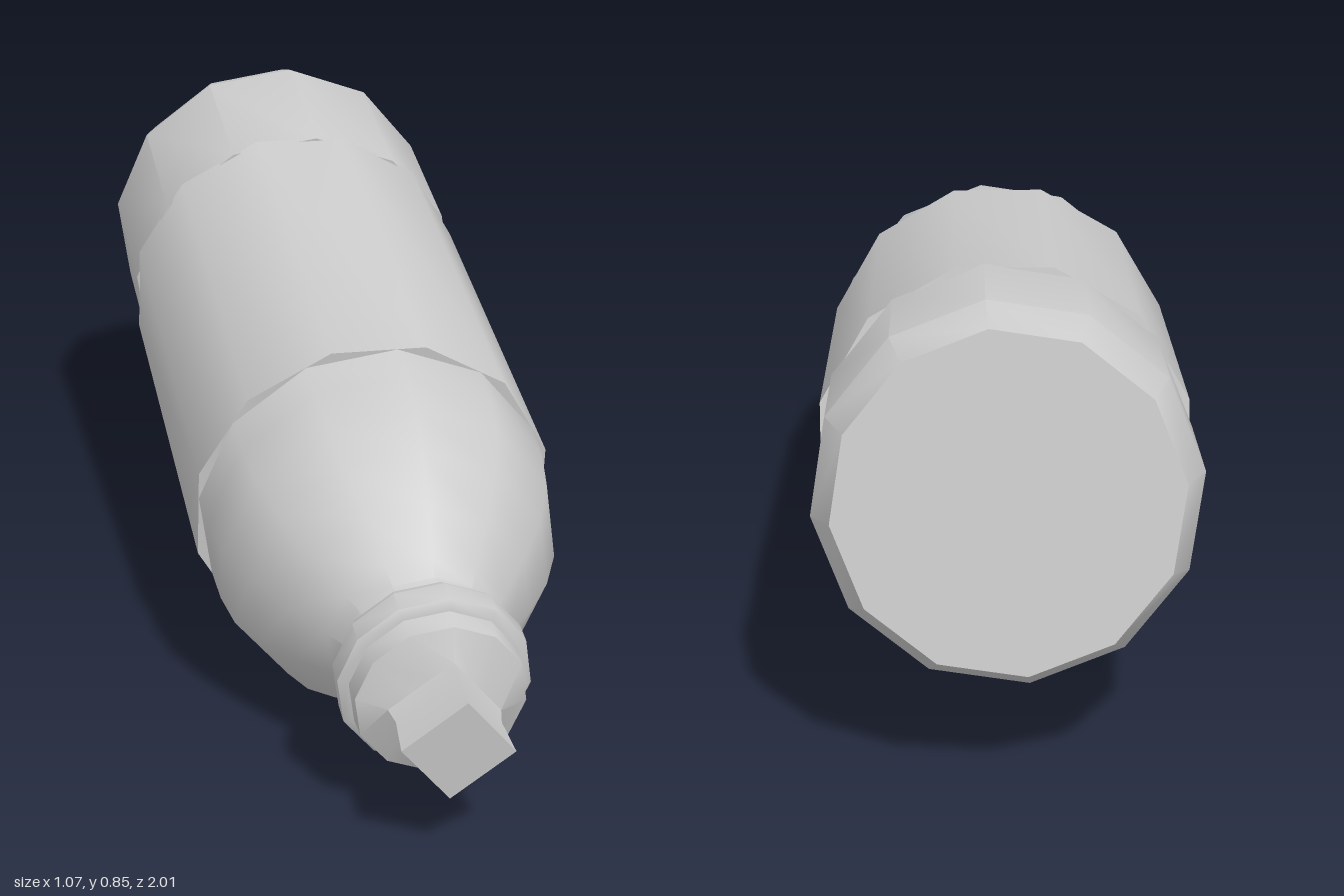
import * as THREE from 'three';
import { toCreasedNormals } from 'three/addons/utils/BufferGeometryUtils.js';

const SIDES = 12;
const deg = THREE.MathUtils.degToRad;
const PHASE = deg(24);

export function createModel() {
  const model = new THREE.Group();
  model.name = 'bottle';
  const material = new THREE.MeshStandardMaterial({ color: 0xcccccc, side: THREE.DoubleSide });

  // Turned part from [radius, distance along axis] pairs
  const turned = (profile, phase) => new THREE.LatheGeometry(
    profile.map(([r, y]) => new THREE.Vector2(r, y)), SIDES, phase);
  const add = (name, geometry) => {
    const mesh = new THREE.Mesh(toCreasedNormals(geometry, 0.62), material);
    mesh.name = name;
    model.add(mesh);
  };

  // Bottom section with chamfered foot
  add('base', turned([[0, 0], [0.302, 0], [0.337, 0.075], [0.337, 0.4], [0.3, 0.4]], PHASE));

  // Middle section, turned slightly against its neighbours
  add('body', turned([[0.3, 0.39], [0.341, 0.39], [0.341, 1.243], [0.28, 1.243]], deg(15)));

  // Domed shoulder running into the neck
  add('shoulder', turned([
    [0.3, 1.235], [0.331, 1.235], [0.327, 1.33], [0.313, 1.42], [0.277, 1.51],
    [0.222, 1.6], [0.165, 1.675], [0.143, 1.705], [0.14, 1.735], [0.14, 1.76],
  ], PHASE));

  // Collar ring
  add('collar', turned([
    [0.13, 1.735], [0.162, 1.745], [0.173, 1.765], [0.173, 1.812], [0.158, 1.822], [0.13, 1.822],
  ], PHASE));

  // Cap: round below, drawn in to a square spout above
  const cap = turned([
    [0.155, 1.815], [0.152, 1.865], [0.1, 1.895], [0.093, 1.93], [0.1, 2.01], [0, 2.01],
  ], PHASE);
  const p = cap.attributes.position;
  for (let i = 0; i < p.count; i++) {
    if (p.getY(i) < 1.88) continue;
    const turn = Math.atan2(p.getX(i), p.getZ(i)) - PHASE - deg(60) + 4 * Math.PI;
    const k = Math.SQRT1_2 / Math.cos(((turn + 1e-4) % (Math.PI / 2)) - Math.PI / 4);
    p.setX(i, p.getX(i) * k);
    p.setZ(i, p.getZ(i) * k);
  }
  add('spout', cap);

  // Lean the axis along the bottle's lying direction
  const axis = new THREE.Vector3(0.372, -0.171, 1).normalize();
  const side = new THREE.Vector3(0, 1, 0).cross(axis).normalize();
  const depth = new THREE.Vector3().crossVectors(side, axis);
  model.quaternion.setFromRotationMatrix(new THREE.Matrix4().makeBasis(side, axis, depth));
  model.position.set(-0.255, 0.54, -0.895);

  const root = new THREE.Group();
  root.name = 'lyingBottle';
  root.add(model);
  return root;
}
